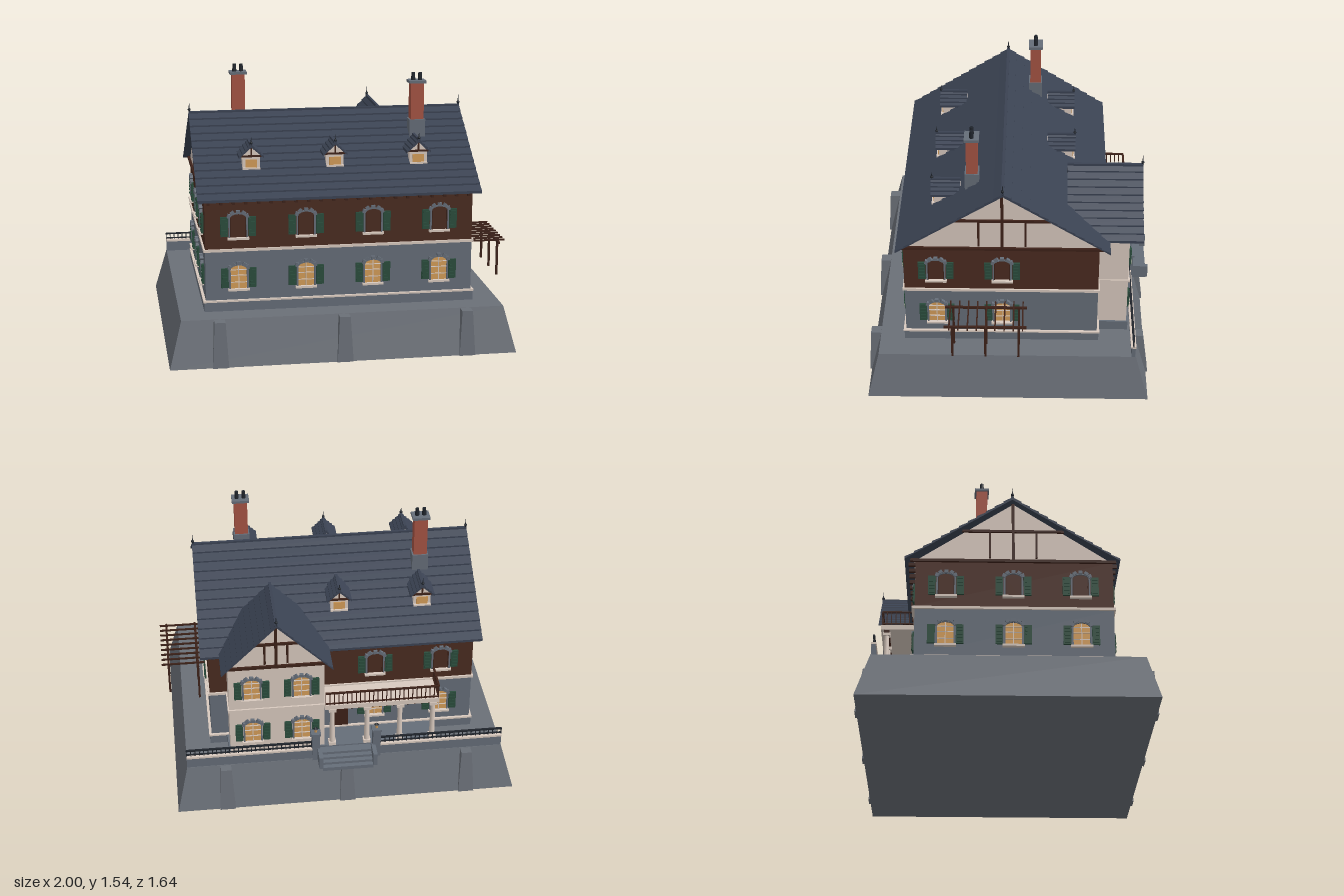
import * as THREE from 'three';

const mat = (name, color) => Object.assign(new THREE.MeshStandardMaterial({ color }), { name });
const M = {
  terrace: mat('terrace stone', 0x6a6f77), stone: mat('wall stone', 0x656d78),
  slate: mat('slate', 0x3a4252), cream: mat('cream plaster', 0xd8c9be),
  boards: mat('brown boards', 0x4a2b20), timber: mat('dark timber', 0x3d2219),
  brick: mat('brick', 0xa55343), green: mat('shutter green', 0x2a4c3c),
  amber: mat('lit glass', 0xd39c58), iron: mat('iron', 0x1f242b),
};

export function createModel() {
  const root = new THREE.Group();
  const add = (parent, name, geo, m, x = 0, y = 0, z = 0) => {
    const mesh = new THREE.Mesh(geo, m);
    mesh.name = name;
    mesh.position.set(x, y, z);
    parent.add(mesh);
    return mesh;
  };
  // box given by its limits
  const box = (name, m, x0, x1, y0, y1, z0, z1, parent = root) => add(parent, name,
    new THREE.BoxGeometry(x1 - x0, y1 - y0, z1 - z0), m, (x0 + x1) / 2, (y0 + y1) / 2, (z0 + z1) / 2);
  const group = (name, x, y, z, turn = 0, parent = root) => {
    const g = new THREE.Group();
    g.name = name;
    g.position.set(x, y, z);
    g.rotation.y = turn;
    parent.add(g);
    return g;
  };
  const extrude = (pts, depth) => new THREE.ExtrudeGeometry(
    new THREE.Shape(pts.map(p => new THREE.Vector2(...p))), { depth, bevelEnabled: false });

  // box with a separate top rectangle: b and t are [x0, x1, z0, z1]
  const tapered = (name, m, y0, y1, b, t) => {
    const geo = new THREE.BoxGeometry(1, 1, 1), p = geo.attributes.position;
    for (let i = 0; i < p.count; i++) {
      const r = p.getY(i) > 0 ? t : b;
      p.setXYZ(i, r[p.getX(i) > 0 ? 1 : 0], p.getY(i) > 0 ? y1 : y0, r[p.getZ(i) > 0 ? 3 : 2]);
    }
    geo.computeVertexNormals();
    add(root, name, geo, m);
  };

  // gabled roof with stepped courses, ridge along local z at y = 0
  const roof = (parent, half, rise, len, n) => {
    const side = [[0, 0.003]];
    for (let i = 0; i < n; i++) {
      if (i) side.push([half * i / n, -rise * i / n]);
      side.push([half * (i + 1) / n, -rise * (i + 1) / n + 0.009]);
    }
    const left = side.slice(1).reverse().map(([x, y]) => [-x, y]);
    const under = [[half, -rise - 0.006], [0, -0.012], [-half, -rise - 0.006]];
    add(parent, 'roofSlates', extrude([...left, ...side, ...under], len), M.slate, 0, 0, -len / 2);
    box('ridgeCap', M.slate, -0.008, 0.008, -0.004, 0.01, -len / 2, len / 2, parent);
  };
  const finial = (x, y, z, h) => {
    add(root, 'finialSpike', new THREE.ConeGeometry(0.006, h, 6), M.iron, x, y + h / 2, z);
    add(root, 'finialBall', new THREE.SphereGeometry(0.009, 8, 6), M.iron, x, y + h * 0.3, z);
  };

  // arched window facing local +z, sill at y = 0
  const archPath = (P, w, h) => {
    const s = new P();
    s.moveTo(-w, 0);
    s.lineTo(w, 0);
    s.lineTo(w, h);
    s.absellipse(0, h, w, w * 0.55, 0, Math.PI, false);
    s.lineTo(-w, 0);
    return s;
  };
  const frameShape = archPath(THREE.Shape, 0.054, 0.115);
  frameShape.holes.push(archPath(THREE.Path, 0.045, 0.113));
  const frameGeo = new THREE.ExtrudeGeometry(frameShape, { depth: 0.012, bevelEnabled: false, curveSegments: 8 });
  const paneGeo = new THREE.ShapeGeometry(archPath(THREE.Shape, 0.047, 0.114), 8);
  const win = (x, y, z, turn, lit = true) => {
    const g = group('window', x, y, z, turn);
    add(g, 'windowFrame', frameGeo, M.stone);
    add(g, 'windowPane', paneGeo, lit ? M.amber : M.boards, 0, 0, 0.003);
    for (let i = 0; i < 5; i++) {
      const a = Math.PI * (i + 0.5) / 5;
      const v = box('archStone', M.stone, -0.011, 0.011, -0.009, 0.009, 0, 0.018, g);
      v.position.x = 0.054 * Math.cos(a);
      v.position.y = 0.117 + 0.033 * Math.sin(a);
      v.rotation.z = a - Math.PI / 2;
    }
    if (lit) {
      box('mullion', M.cream, -0.0025, 0.0025, 0, 0.137, 0.003, 0.008, g);
      for (const h of [0.04, 0.08, 0.112]) box('glazingBar', M.cream, -0.045, 0.045, h - 0.002, h + 0.002, 0.003, 0.008, g);
    } else {
      for (const s of [-1, 1]) box('innerFrame', M.timber, s * 0.042 - 0.003, s * 0.042 + 0.003, 0, 0.115, 0.003, 0.008, g);
    }
    box('windowSill', M.cream, -0.06, 0.06, -0.008, 0.004, 0, 0.022, g);
    for (const s of [-1, 1]) {
      box('shutter', M.green, s * 0.078 - 0.021, s * 0.078 + 0.021, 0.01, 0.122, 0, 0.012, g);
      for (let i = 0; i < 5; i++) {
        const h = 0.024 + i * 0.021;
        box('shutterSlat', M.green, s * 0.078 - 0.015, s * 0.078 + 0.015, h - 0.005, h + 0.005, 0.01, 0.016, g);
      }
    }
  };

  // railing running along local x from 0
  const railing = (x, y, z, len, h, m, turn = 0, step = 0.025) => {
    const g = group('railing', x, y, z, turn);
    box('topRail', m, 0, len, h - 0.008, h, -0.006, 0.006, g);
    box('bottomRail', m, 0, len, 0.006, 0.012, -0.004, 0.004, g);
    const n = Math.round(len / step);
    for (let i = 0; i <= n; i++) box('baluster', m, len * i / n - 0.0025, len * i / n + 0.0025, 0, h, -0.0025, 0.0025, g);
  };

  // terrace with buttresses
  tapered('terraceBase', M.terrace, 0, 0.26, [-1, 0.955, -0.795, 0.805], [-0.93, 0.89, -0.72, 0.74]);
  for (const x of [-0.72, -0.025, 0.67]) {
    tapered('frontButtress', M.terrace, 0, 0.258, [x - 0.045, x + 0.045, 0.7, 0.815], [x - 0.03, x + 0.03, 0.7, 0.8]);
    tapered('backButtress', M.terrace, 0, 0.258, [x - 0.045, x + 0.045, -0.805, -0.68], [x - 0.03, x + 0.03, -0.77, -0.68]);
  }

  // main walls
  box('plinth', M.stone, -0.79, 0.745, 0.26, 0.315, -0.51, 0.6);
  box('plinthTrim', M.cream, -0.795, 0.75, 0.313, 0.323, -0.515, 0.605);
  box('lowerWalls', M.stone, -0.78, 0.735, 0.32, 0.605, -0.5, 0.59);
  box('storeyBand', M.cream, -0.79, 0.745, 0.603, 0.618, -0.51, 0.6);
  box('upperWalls', M.boards, -0.78, 0.735, 0.618, 0.9, -0.5, 0.59);
  const gable = group('mainGable', -0.78, 0, 0.04, Math.PI / 2);
  add(gable, 'gableWall', extrude([[-0.55, 0.895], [0.55, 0.895], [0, 1.264]], 1.515), M.cream);

  // rear wing
  box('wingPlinth', M.stone, 0.085, 0.645, 0.26, 0.318, -0.68, -0.5);
  box('wingWalls', M.cream, 0.095, 0.635, 0.318, 0.9, -0.672, -0.45);
  box('wingBand', M.cream, 0.087, 0.643, 0.6, 0.615, -0.682, -0.49);
  add(root, 'wingGable', extrude([[-0.27, 0.895], [0.27, 0.895], [0, 1.195]], 0.342), M.cream, 0.365, 0, -0.672);

  // roofs
  roof(group('mainRoof', -0.02, 1.285, 0.035, Math.PI / 2), 0.595, 0.387, 1.6, 12);
  roof(group('wingRoof', 0.365, 1.215, -0.5325), 0.31, 0.31, 0.425, 10);
  for (const x of [-0.815, 0.775]) finial(x, 1.285, 0.035, 0.07);
  finial(0.365, 1.215, -0.74, 0.065);
  for (let i = 0; i < 22; i++) {
    const x = -0.76 + i * 0.07;
    for (const [z0, z1] of [[0.58, 0.615], [-0.54, -0.49]]) {
      if (z0 > 0 || x < 0.05 || x > 0.68) box('rafterTail', M.timber, x - 0.008, x + 0.008, 0.875, 0.895, z0, z1);
    }
  }

  // half-timbering: half = gable half width, cy = collar height, top = post top
  const timbering = (x, z, turn, half, cy, top) => {
    const g = group('gableTimbers', x, 0, z, turn);
    const ch = half * (top + 0.015 - cy) / (top - 0.895);
    box('eaveBeam', M.timber, -half - 0.02, half + 0.02, 0.892, 0.908, 0, 0.014, g);
    box('collarBeam', M.timber, -ch, ch, cy - 0.007, cy + 0.007, 0, 0.012, g);
    box('kingPost', M.timber, -0.008, 0.008, 0.9, top, 0, 0.013, g);
    for (const s of [-1, 1]) box('shortPost', M.timber, s * half * 0.235 - 0.006, s * half * 0.235 + 0.006, 0.92, cy - 0.01, 0, 0.011, g);
  };
  timbering(0.735, 0.04, Math.PI / 2, 0.55, 1.087, 1.262);
  timbering(-0.78, 0.04, -Math.PI / 2, 0.55, 1.087, 1.262);
  timbering(0.365, -0.672, Math.PI, 0.27, 1.05, 1.19);

  // windows
  for (const [y, lit] of [[0.385, true], [0.68, false]]) {
    for (const x of [-0.595, -0.215, 0.165, 0.545]) win(x, y, 0.59, 0, lit);
    for (const z of [0.41, 0.04]) win(0.735, y, z, Math.PI / 2, lit);
    for (const z of [0.41, 0.04, -0.33]) win(-0.78, y, z, -Math.PI / 2, lit);
    for (const x of [-0.595, -0.215]) win(x, y, -0.5, Math.PI, lit);
    for (const x of [0.225, 0.505]) win(x, y, -0.672, Math.PI);
  }
  box('frontDoor', M.timber, -0.06, 0.04, 0.32, 0.52, -0.508, -0.5);

  // dormers
  const dormer = (x, z, turn) => {
    const g = group('dormer', x, 0, z, turn);
    box('dormerBody', M.cream, -0.05, 0.05, 1.02, 1.105, -0.15, 0, g);
    add(g, 'dormerGable', extrude([[-0.055, 1.1], [0.055, 1.1], [0, 1.155]], 0.15), M.cream, 0, 0, -0.15);
    box('dormerWindow', M.amber, -0.033, 0.033, 1.04, 1.085, 0, 0.005, g);
    box('dormerSill', M.cream, -0.05, 0.05, 1.03, 1.04, 0, 0.014, g);
    box('dormerBeam', M.timber, -0.058, 0.058, 1.1, 1.11, 0, 0.01, g);
    box('dormerPost', M.timber, -0.004, 0.004, 1.1, 1.155, 0, 0.009, g);
    roof(group('dormerRoof', 0, 1.168, -0.065, 0, g), 0.07, 0.068, 0.165, 4);
    finial(x, 1.165, z + (turn ? -0.012 : 0.012), 0.055);
  };
  for (const x of [-0.5, -0.025, 0.455]) dormer(x, 0.425, 0);
  for (const x of [-0.5, -0.025]) dormer(x, -0.355, Math.PI);

  // chimneys
  for (const [x, z, top] of [[-0.515, -0.135, 1.48], [0.485, 0.21, 1.46]]) {
    box('chimneyBase', M.stone, x - 0.046, x + 0.046, 1.05, 1.25, z - 0.04, z + 0.04);
    box('chimneyStack', M.brick, x - 0.038, x + 0.038, 1.25, top, z - 0.032, z + 0.032);
    box('chimneyCap', M.stone, x - 0.05, x + 0.05, top, top + 0.015, z - 0.041, z + 0.041);
    for (const s of [-1, 1]) add(root, 'chimneyPot', new THREE.CylinderGeometry(0.01, 0.013, 0.045, 10), M.iron, x + s * 0.02, top + 0.036, z);
  }

  // porch and balcony
  box('porchFloor', M.stone, -0.56, 0.09, 0.26, 0.315, -0.68, -0.5);
  box('balconySlab', M.cream, -0.56, 0.095, 0.582, 0.61, -0.692, -0.5);
  box('balconyBeam', M.timber, -0.555, 0.09, 0.568, 0.583, -0.675, -0.645);
  for (const x of [-0.53, -0.34, -0.15, 0.05]) {
    add(root, 'porchColumn', new THREE.CylinderGeometry(0.013, 0.016, 0.26, 12), M.cream, x, 0.445, -0.66);
    box('columnBase', M.cream, x - 0.021, x + 0.021, 0.315, 0.335, -0.681, -0.639);
    box('columnHead', M.cream, x - 0.021, x + 0.021, 0.552, 0.57, -0.681, -0.639);
  }
  railing(-0.555, 0.61, -0.685, 0.645, 0.085, M.timber);
  railing(-0.555, 0.61, -0.51, 0.175, 0.085, M.timber, Math.PI / 2);

  // rear parapet with railing
  for (const [x0, x1] of [[-0.93, -0.2], [0.15, 0.89]]) {
    box('parapet', M.stone, x0, x1, 0.255, 0.32, -0.717, -0.695);
    box('parapetCap', M.cream, x0, x1, 0.32, 0.332, -0.72, -0.69);
    railing(x0, 0.332, -0.705, x1 - x0, 0.042, M.iron);
  }
  // gate piers with lamps
  for (const x of [-0.2, 0.15]) {
    box('gatePier', M.stone, x - 0.022, x + 0.022, 0.255, 0.43, -0.73, -0.686);
    box('pierCap', M.stone, x - 0.028, x + 0.028, 0.43, 0.443, -0.736, -0.68);
    add(root, 'lampGlass', new THREE.CylinderGeometry(0.01, 0.008, 0.022, 6), M.amber, x, 0.454, -0.708);
    add(root, 'lampRoof', new THREE.ConeGeometry(0.014, 0.014, 6), M.iron, x, 0.472, -0.708);
  }
  // entrance steps
  for (let i = 0; i < 4; i++) box('step', M.stone, -0.17, 0.12, 0.24, 0.262 + i * 0.015, -0.815 + i * 0.028, -0.68);
  for (const x of [-0.18, 0.13]) box('stepCheek', M.stone, x - 0.012, x + 0.012, 0.262, 0.338, -0.822, -0.72);

  // pergola
  for (const x of [0.785, 0.96]) {
    box('pergolaBeam', M.timber, x - 0.006, x + 0.006, 0.515, 0.527, -0.1, 0.36);
    for (const z of [0.315, 0.13, -0.055]) box('pergolaPost', M.timber, x - 0.006, x + 0.006, x < 0.9 ? 0.26 : 0.315, 0.517, z - 0.006, z + 0.006);
  }
  for (let i = 0; i < 9; i++) {
    const z = -0.078 + i * 0.051;
    box('pergolaSlat', M.timber, 0.745, 1, 0.527, 0.537, z - 0.004, z + 0.004);
  }
  return root;
}
